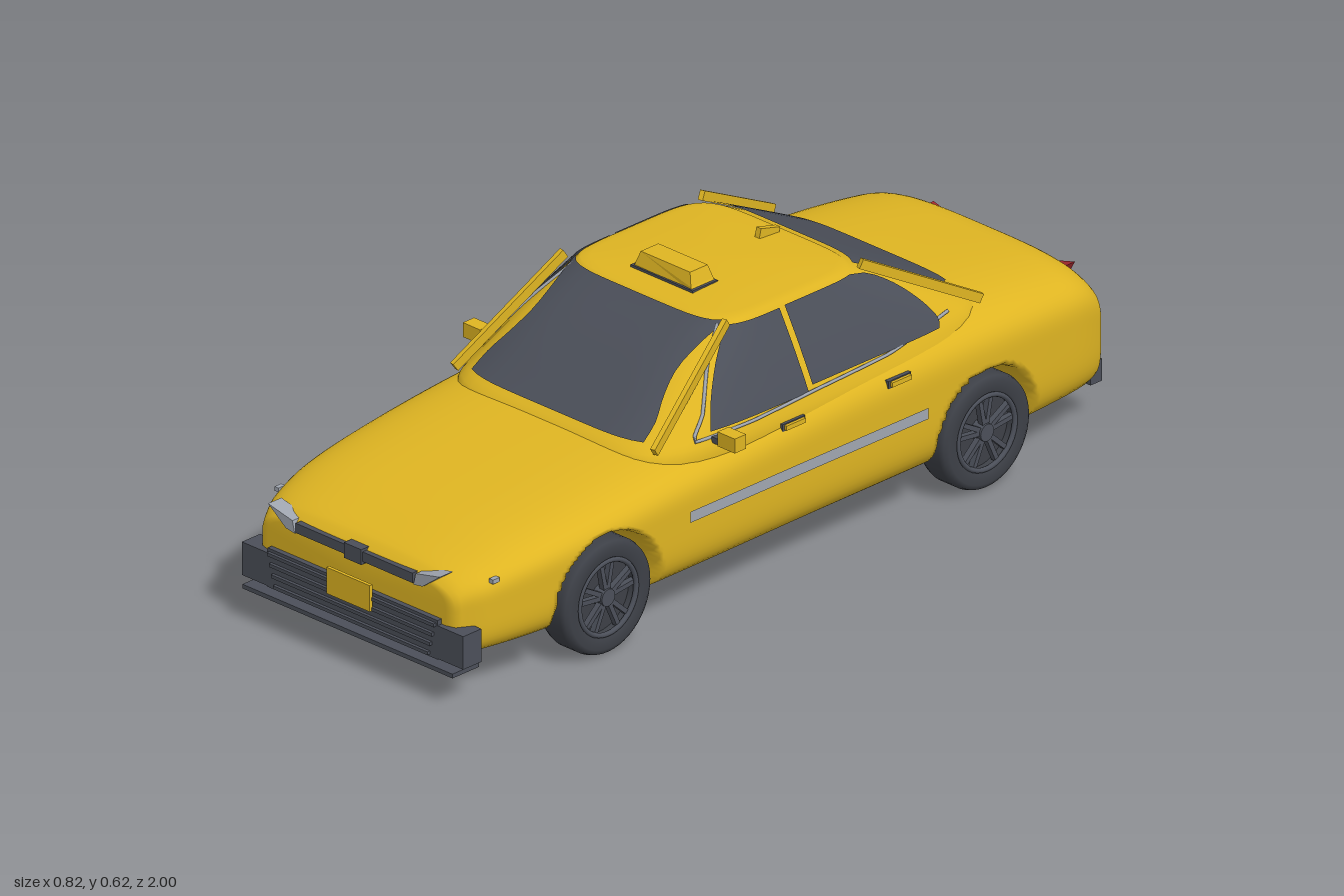
import * as THREE from 'three';

const mat = (name, color, side = THREE.FrontSide) => {
  const m = new THREE.MeshStandardMaterial({ color, side });
  m.name = name;
  return m;
};
const yellow = mat('yellow paint', 0xdfb522);
const dark = mat('dark glass and trim', 0x4b4f59, THREE.DoubleSide);
const tyreMat = mat('tyre rubber', 0x3d4047);
const silver = mat('silver trim', 0xa0a6b0, THREE.DoubleSide);
const red = mat('tail lamp red', 0xa3282e);

// Smooth curve through [x, y] pairs
function curve(pts) {
  const slope = pts.map((_, i) => {
    const a = pts[Math.max(0, i - 1)], b = pts[Math.min(pts.length - 1, i + 1)];
    return (b[1] - a[1]) / (b[0] - a[0]);
  });
  return (x) => {
    if (x <= pts[0][0]) return pts[0][1];
    for (let i = 1; i < pts.length; i++) {
      const [x0, y0] = pts[i - 1], [x1, y1] = pts[i];
      if (x > x1) continue;
      const h = x1 - x0, t = (x - x0) / h, u = 1 - t;
      return y0 * (1 + 2 * t) * u * u + slope[i - 1] * h * t * u * u
        + y1 * t * t * (3 - 2 * t) - slope[i] * h * t * t * u;
    }
    return pts[pts.length - 1][1];
  };
}

// Grid of points to a surface, optionally closed around each row
function surface(rows, closed) {
  const n = rows[0].length, idx = [];
  for (let i = 0; i < rows.length - 1; i++) {
    for (let j = 0; j < (closed ? n : n - 1); j++) {
      const k = (j + 1) % n, a = i * n + j, b = i * n + k;
      idx.push(a, b, b + n, a, b + n, a + n);
    }
  }
  const g = new THREE.BufferGeometry();
  g.setAttribute('position', new THREE.Float32BufferAttribute(rows.flat(2), 3));
  g.setIndex(idx);
  g.computeVertexNormals();
  return g;
}

// Lower body profile by z
const topY = curve([[-0.975, 0.31], [-0.96, 0.345], [-0.92, 0.385], [-0.85, 0.405], [-0.6, 0.425], [-0.2, 0.42],
  [0.2, 0.39], [0.4, 0.374], [0.6, 0.352], [0.8, 0.325], [0.9, 0.3], [0.95, 0.282], [0.965, 0.268]]);
const halfW = curve([[-0.975, 0.3], [-0.95, 0.325], [-0.85, 0.35], [-0.6, 0.368], [0, 0.37], [0.5, 0.37],
  [0.75, 0.356], [0.9, 0.325], [0.965, 0.29]]);
const botY = curve([[-0.975, 0.09], [-0.92, 0.075], [0.92, 0.075], [0.965, 0.09]]);
const midY = (z) => botY(z) + 0.6 * (topY(z) - botY(z));
const N_TOP = 3.5, N_BOT = 5;
const WHEELS = [0.575, -0.57], WHEEL_Y = 0.133;

function bodyRing(z, scale = 1, zOut = z) {
  const ring = [], yc = midY(z);
  for (let j = 0; j < 112; j++) {
    const a = (j / 112) * Math.PI * 2, c = Math.cos(a), s = Math.sin(a);
    const n = s > 0 ? N_TOP : N_BOT;
    const r = scale / Math.pow(Math.abs(c) ** n + Math.abs(s) ** n, 1 / n);
    let x = halfW(z) * c * r;
    const y = yc + (s > 0 ? topY(z) - yc : yc - botY(z)) * s * r;
    // Wheel arches press the flank inwards
    for (const wz of WHEELS) {
      const k = 1 - THREE.MathUtils.smoothstep(Math.hypot(z - wz, y - WHEEL_Y), 0.134, 0.154);
      if (Math.abs(x) > 0.27) x = Math.sign(x) * THREE.MathUtils.lerp(Math.abs(x), 0.27, k);
    }
    ring.push([x, y, zOut]);
  }
  return ring;
}
const bodySide = (z, y) => {
  const yc = midY(z), up = y > yc, n = up ? N_TOP : N_BOT;
  const t = Math.abs(y - yc) / (up ? topY(z) - yc : yc - botY(z));
  return halfW(z) * Math.pow(Math.max(0, 1 - t ** n), 1 / n);
};

// Cabin profile by y
const cabW = curve([[0.32, 0.352], [0.37, 0.348], [0.47, 0.302], [0.575, 0.245]]);
const cabF = curve([[0.32, 0.43], [0.37, 0.41], [0.39, 0.382], [0.49, 0.245], [0.575, 0.11]]);
const cabR = curve([[0.32, -0.67], [0.4, -0.655], [0.425, -0.615], [0.51, -0.45], [0.575, -0.32]]);
const N_CAB = 5.5;
const cabC = (y) => (cabF(y) + cabR(y)) / 2, cabH = (y) => (cabF(y) - cabR(y)) / 2;
const bulge = (t) => Math.pow(Math.max(0, 1 - Math.abs(t) ** N_CAB), 1 / N_CAB);
const cabSide = (z, y) => cabW(y) * bulge((z - cabC(y)) / cabH(y));
const cabEnd = (x, y, dir) => cabC(y) + dir * cabH(y) * bulge(x / cabW(y));

function cabinRing(y, scale = 1, yOut = y) {
  const ring = [];
  for (let j = 0; j < 96; j++) {
    const a = (j / 96) * Math.PI * 2, c = Math.cos(a), s = Math.sin(a);
    const r = scale / Math.pow(Math.abs(c) ** N_CAB + Math.abs(s) ** N_CAB, 1 / N_CAB);
    ring.push([cabW(y) * c * r, yOut, cabC(y) - cabH(y) * s * r]);
  }
  return ring;
}

// Pane from rows of [y, from, to], placed by a mapping rule
function pane(rows, place, steps = 20) {
  return surface(rows.map(([y, a, b]) => Array.from({ length: steps + 1 },
    (_, i) => place(a + ((b - a) * i) / steps, y))), false);
}
// Refine rows of a pane along a smooth outline
function refine(rows, n = 12) {
  const a = curve(rows.map((r) => [r[0], r[1]])), b = curve(rows.map((r) => [r[0], r[2]]));
  const y0 = rows[0][0], y1 = rows[rows.length - 1][0];
  return Array.from({ length: n + 1 }, (_, i) => y0 + ((y1 - y0) * i) / n).map((y) => [y, a(y), b(y)]);
}

export function createModel() {
  const car = new THREE.Group();
  car.name = 'taxi';
  const add = (name, geo, m, parent = car) => {
    const mesh = new THREE.Mesh(geo, m);
    mesh.name = name;
    parent.add(mesh);
    return mesh;
  };
  const box = (name, m, w, h, d, x, y, z, parent) => {
    const b = add(name, new THREE.BoxGeometry(w, h, d), m, parent);
    b.position.set(x, y, z);
    return b;
  };
  const bar = (name, m, p, q, w, h) => {
    const a = new THREE.Vector3(...p), b = new THREE.Vector3(...q);
    const mesh = box(name, m, w, h, a.distanceTo(b), 0, 0, 0);
    mesh.position.lerpVectors(a, b, 0.5);
    mesh.lookAt(b);
  };
  const plate = (name, m, pts, depth, z) => {
    const shape = new THREE.Shape(pts.map((p) => new THREE.Vector2(...p)));
    add(name, new THREE.ExtrudeGeometry(shape, { depth, bevelEnabled: false }), m).position.z = z;
  };

  // Body shell
  const rings = [bodyRing(-0.975, 0, -0.981), bodyRing(-0.975, 0.92, -0.981)];
  for (let i = 0; i <= 170; i++) rings.push(bodyRing(-0.975 + (1.94 * i) / 170));
  rings.push(bodyRing(0.965, 0.92, 0.972), bodyRing(0.965, 0, 0.972));
  add('body', surface(rings, true), yellow);

  // Cabin with a crowned roof
  const layers = [];
  for (let i = 0; i <= 24; i++) layers.push(cabinRing(0.32 + (0.253 * i) / 24));
  for (const [s, y] of [[0.975, 0.577], [0.9, 0.58], [0.6, 0.584], [0.3, 0.586], [0, 0.5865]]) layers.push(cabinRing(0.573, s, y));
  add('cabin', surface(layers, true), yellow);

  // Windscreen and rear window
  const sym = (rows) => refine(rows.map(([y, h]) => [y, -h, h]));
  add('windscreen', pane(sym([[0.389, 0.258], [0.42, 0.252], [0.46, 0.23], [0.5, 0.215], [0.54, 0.218], [0.572, 0.228]]),
    (x, y) => [x, y + 0.004, cabEnd(x, y, 1) + 0.004]), dark);
  add('rearWindow', pane(sym([[0.434, 0.215], [0.45, 0.245], [0.48, 0.243], [0.52, 0.225], [0.57, 0.215]]),
    (x, y) => [x, y + 0.004, cabEnd(x, y, -1) - 0.004]), dark);

  for (const s of [1, -1]) {
    // Side windows
    const onCabin = (z, y) => [s * (cabSide(z, y) + 0.005), y + 0.002, z];
    add('frontSideWindow', pane(refine([[0.397, -0.05, 0.235], [0.45, -0.05, 0.205], [0.51, -0.05, 0.155], [0.567, -0.05, 0.09]]), onCabin), dark);
    add('rearSideWindow', pane(refine([[0.408, -0.455, -0.066], [0.43, -0.462, -0.066], [0.5, -0.405, -0.066], [0.55, -0.33, -0.066], [0.568, -0.27, -0.066]]), onCabin), dark);
    // Silver trim under the windows and up the front frame
    const trim = [[-0.5, 0.428], [-0.3, 0.405], [-0.06, 0.397], [0.12, 0.39], [0.28, 0.387], [0.235, 0.43], [0.17, 0.51], [0.1, 0.568]];
    const path = new THREE.CatmullRomCurve3(trim.map(([z, y]) => new THREE.Vector3(s * (cabSide(z, y) + 0.004), y, z)), false, 'catmullrom', 0.2);
    add('windowTrim', new THREE.TubeGeometry(path, 60, 0.004, 6), silver);
    // Pillar bars
    bar('frontPillarBar', yellow, [s * 0.3, 0.387, 0.375], [s * 0.243, 0.583, 0.1], 0.012, 0.022);
    bar('rearPillarBar', yellow, [s * 0.312, 0.425, -0.6], [s * 0.238, 0.58, -0.31], 0.012, 0.022);
    // Side stripe
    add('sideStripe', pane([[0.234, -0.38, 0.34], [0.247, -0.38, 0.34], [0.26, -0.38, 0.34]],
      (z, y) => [s * (bodySide(z, y) + 0.003), y, z]), silver);
    // Door handles
    for (const z of [0.01, -0.3]) {
      const x = bodySide(z, 0.352);
      box('handleRecess', dark, 0.012, 0.018, 0.068, s * x, 0.35, z);
      box('doorHandle', yellow, 0.02, 0.011, 0.058, s * (x + 0.003), 0.351, z);
    }
    // Door mirror
    box('mirrorStalk', dark, 0.05, 0.014, 0.022, s * 0.35, 0.382, 0.225);
    box('mirrorHousing', yellow, 0.052, 0.034, 0.034, s * 0.382, 0.392, 0.223);
    box('mirrorGlass', dark, 0.042, 0.026, 0.004, s * 0.382, 0.392, 0.205);
    // Lamps
    plate('headlight', silver, [[0.178, 0.24], [0.205, 0.244], [0.258, 0.284], [0.185, 0.268]].map(([x, y]) => [s * x, y]), 0.04, 0.94);
    plate('tailLight', red, [[0.135, 0.3], [0.185, 0.297], [0.212, 0.345], [0.14, 0.325]].map(([x, y]) => [s * x, y]), 0.03, -0.986);
    box('sideMarker', silver, 0.012, 0.01, 0.02, s * 0.322, 0.265, 0.88);
    // Bumper corner
    box('frontBumperCorner', dark, 0.08, 0.078, 0.055, s * 0.292, 0.131, 0.957);
  }

  // Grille and front bumper
  box('grilleBar', dark, 0.35, 0.023, 0.02, 0, 0.254, 0.97);
  box('grilleCentre', dark, 0.052, 0.036, 0.025, 0, 0.254, 0.972);
  box('frontBumper', dark, 0.51, 0.092, 0.035, 0, 0.136, 0.967);
  for (let i = 0; i < 4; i++) box('bumperSlat', dark, 0.5 - i * 0.012, 0.008, 0.01, 0, 0.171 - i * 0.024, 0.987);
  box('splitter', dark, 0.63, 0.01, 0.08, 0, 0.076, 0.96);
  box('frontPlate', yellow, 0.13, 0.062, 0.008, 0, 0.174, 0.994);

  // Rear bumper and plate
  box('rearBumper', dark, 0.57, 0.052, 0.035, 0, 0.112, -0.977);
  for (const x of [-0.23, -0.08, 0.08, 0.23]) box('rearBumperRib', dark, 0.03, 0.03, 0.012, x, 0.1, -0.994);
  box('rearPlate', yellow, 0.11, 0.05, 0.012, 0, 0.275, -0.984);
  box('rearPlateFrame', dark, 0.118, 0.058, 0.008, 0, 0.275, -0.981);

  // Roof sign and aerial
  const sign = new THREE.Shape([[-0.09, 0.58], [0.09, 0.58], [0.084, 0.592], [0.074, 0.622], [-0.074, 0.622], [-0.084, 0.592]].map((p) => new THREE.Vector2(...p)));
  const signGeo = new THREE.ExtrudeGeometry(sign, { depth: 0.068, bevelEnabled: false });
  const sp = signGeo.attributes.position;
  for (let i = 0; i < sp.count; i++) sp.setZ(i, (sp.getZ(i) - 0.034) * (sp.getY(i) > 0.61 ? 0.78 : 1));
  signGeo.computeVertexNormals();
  add('roofSign', signGeo, yellow).position.z = 0.012;
  box('roofSignBase', dark, 0.186, 0.008, 0.076, 0, 0.584, 0.012);
  box('aerial', yellow, 0.014, 0.022, 0.06, 0, 0.588, -0.27).rotation.x = -0.25;

  // Wheels, with the outer face along +x
  const tyreProfile = [[0.088, -0.042], [0.118, -0.043], [0.129, -0.037], [0.133, -0.025], [0.133, 0.025], [0.129, 0.037],
    [0.118, 0.043], [0.094, 0.042], [0.09, 0.036], [0.088, 0.012]].map((p) => new THREE.Vector2(...p));
  for (const z of WHEELS) for (const s of [1, -1]) {
    const wheel = new THREE.Group();
    wheel.name = 'wheel';
    wheel.position.set(s * 0.322, WHEEL_Y, z);
    wheel.rotation.y = s > 0 ? 0 : Math.PI;
    car.add(wheel);
    add('tyre', new THREE.LatheGeometry(tyreProfile, 48), tyreMat, wheel).rotation.z = -Math.PI / 2;
    const disc = add('wheelDisc', new THREE.CylinderGeometry(0.09, 0.09, 0.05, 36), tyreMat, wheel);
    disc.rotation.z = Math.PI / 2;
    disc.position.x = -0.012;
    const rim = add('rim', new THREE.TorusGeometry(0.086, 0.006, 8, 40), dark, wheel);
    rim.rotation.y = Math.PI / 2;
    rim.position.x = 0.037;
    const hub = add('hub', new THREE.CylinderGeometry(0.02, 0.024, 0.03, 20), dark, wheel);
    hub.rotation.z = -Math.PI / 2;
    hub.position.x = 0.025;
    for (let i = 0; i < 5; i++) for (const off of [-0.2, 0.2]) {
      const spoke = new THREE.Group();
      spoke.rotation.x = (i / 5) * Math.PI * 2 + off;
      wheel.add(spoke);
      box('spoke', dark, 0.014, 0.07, 0.011, 0.029, 0.05, 0, spoke);
    }
  }
  return car;
}
